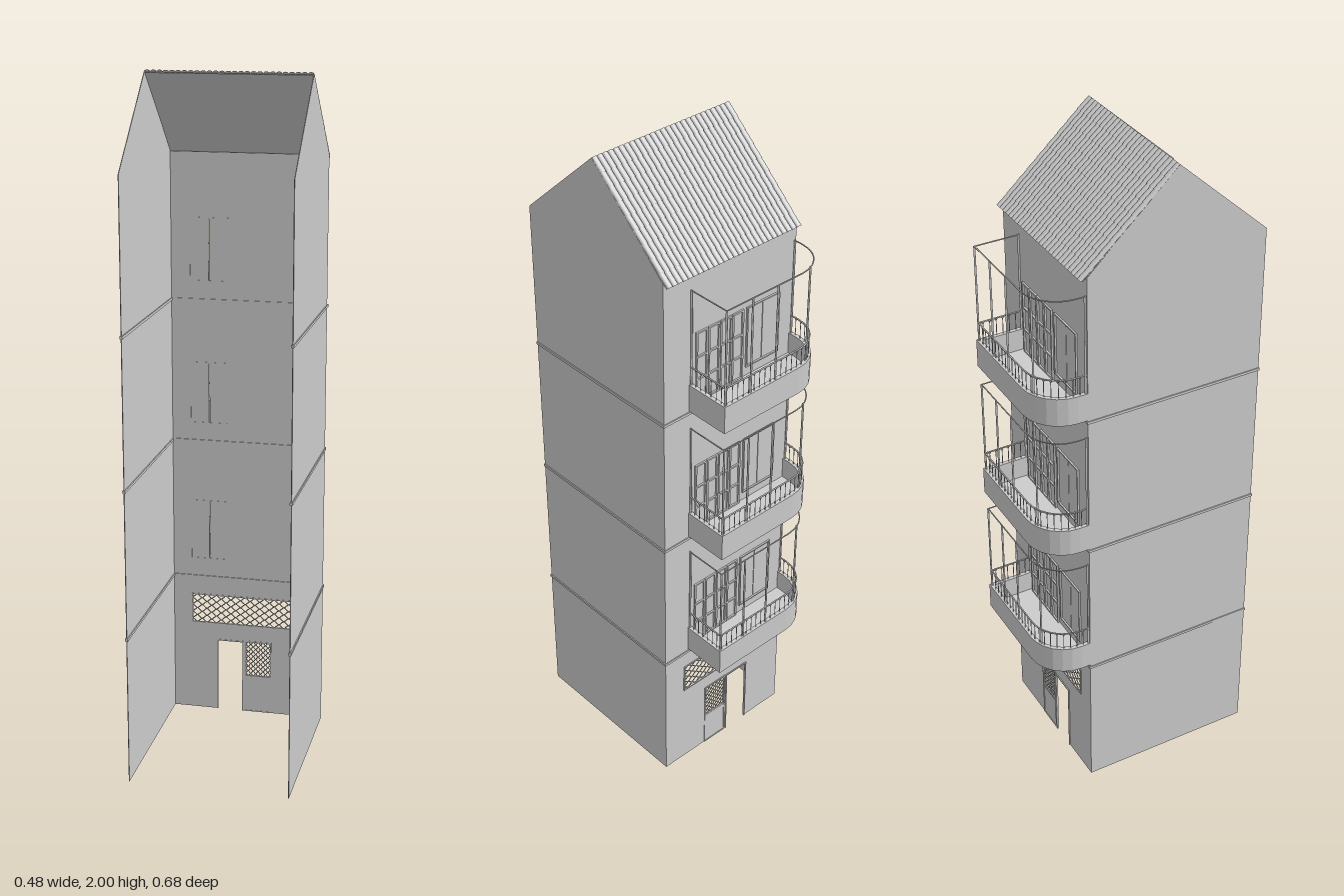
import * as THREE from 'three';
import { mergeGeometries } from 'three/addons/utils/BufferGeometryUtils.js';

const grey = new THREE.MeshStandardMaterial({ color: 0xcccccc, side: THREE.DoubleSide });
const flat = new THREE.MeshStandardMaterial({ color: 0xcccccc, side: THREE.DoubleSide, flatShading: true });
const HALF = 0.235, BACK = -0.2, FRONT = 0.335, RIDGE = 0.065;

function add(parent, name, geometry, material = flat) {
  const mesh = new THREE.Mesh(geometry, material);
  mesh.name = name;
  parent.add(mesh);
  return mesh;
}

// box given by its limits
function box(x0, x1, y0, y1, z0, z1) {
  return new THREE.BoxGeometry(x1 - x0, y1 - y0, z1 - z0)
    .translate((x0 + x1) / 2, (y0 + y1) / 2, (z0 + z1) / 2);
}

// four thin bars around an opening
function frame(x0, x1, y0, y1, w, z0, z1) {
  return mergeGeometries([
    box(x0, x0 + w, y0, y1, z0, z1), box(x1 - w, x1, y0, y1, z0, z1),
    box(x0 + w, x1 - w, y0, y0 + w, z0, z1), box(x0 + w, x1 - w, y1 - w, y1, z0, z1)]);
}

// wavy strands in opposite phase, leaving lens-shaped openings
function lattice(x0, x1, y0, y1, rows, waves, r) {
  const parts = [], h = (y1 - y0) / rows, n = waves * 4;
  for (let i = 0; i < rows; i++) {
    const pts = [];
    for (let k = 0; k <= n; k++) {
      const y = y0 + h * (i + 0.5) + Math.cos(k * Math.PI / 2 + i * Math.PI) * h * 0.5;
      pts.push(new THREE.Vector3(x0 + (x1 - x0) * k / n, y, BACK));
    }
    parts.push(new THREE.TubeGeometry(new THREE.CatmullRomCurve3(pts), n * 2, r, 4));
  }
  return mergeGeometries(parts);
}

// balcony edge in plan (x, distance behind centre), rounded at one corner
function balconyEdge(inset) {
  const p = [new THREE.Vector2(0.147 - inset, -BACK), new THREE.Vector2(0.147 - inset, 0.338 - inset)];
  for (let i = 0; i <= 6; i++) {
    const a = Math.PI / 2 * (1 + i / 6), r = 0.11 - inset;
    p.push(new THREE.Vector2(-0.125 + r * Math.cos(a), 0.228 + r * Math.sin(a)));
  }
  p.push(new THREE.Vector2(-HALF + inset, -BACK));
  return p;
}

function extrudeUp(points, y0, height) {
  return new THREE.ExtrudeGeometry(new THREE.Shape(points), { depth: height, bevelEnabled: false })
    .rotateX(-Math.PI / 2).translate(0, y0, 0);
}

// thin rail following the balcony edge
function rail(y, r) {
  const path = new THREE.CurvePath();
  const p = balconyEdge(0.006).map(v => new THREE.Vector3(v.x, y, -v.y));
  for (let i = 1; i < p.length; i++) path.add(new THREE.LineCurve3(p[i - 1], p[i]));
  return new THREE.TubeGeometry(path, 90, r, 5);
}

function balcony() {
  const g = new THREE.Group();
  g.name = 'balcony';
  add(g, 'balconyFloor', extrudeUp(balconyEdge(0.001), 0, 0.02));
  add(g, 'parapet', extrudeUp([...balconyEdge(0), ...balconyEdge(0.012).reverse()], 0, 0.085));

  // railing: balusters joined by small arches
  const edge = new THREE.CurvePath(), p = balconyEdge(0.006);
  for (let i = 1; i < p.length; i++) edge.add(new THREE.LineCurve(p[i - 1], p[i]));
  const count = 30, parts = [], spots = [];
  for (let i = 0; i <= count; i++) spots.push(edge.getPoint(i / count));
  spots.forEach((s, i) => {
    parts.push(new THREE.CylinderGeometry(0.0013, 0.0013, 0.045, 4).translate(s.x, 0.107, -s.y));
    if (i === count) return;
    const e = spots[i + 1];
    parts.push(new THREE.TorusGeometry(s.distanceTo(e) / 2, 0.0012, 4, 6, Math.PI)
      .rotateY(Math.atan2(e.y - s.y, e.x - s.x))
      .translate((s.x + e.x) / 2, 0.13, -(s.y + e.y) / 2));
  });
  add(g, 'railing', mergeGeometries(parts), grey);
  add(g, 'handrail', rail(0.14, 0.0025), grey);

  // tall posts with a thin top rail
  const posts = [[0.141, 0.203], [0.141, 0.332], [0.05, 0.332], [-0.04, 0.332], [-0.165, 0.322], [-0.229, 0.203]]
    .map(([x, s]) => new THREE.CylinderGeometry(0.003, 0.003, 0.295, 6).translate(x, 0.2275, -s));
  add(g, 'posts', mergeGeometries(posts), grey);
  add(g, 'topRail', rail(0.375, 0.002), grey);

  // glazed window and panelled folding door on the wall
  const panes = [[-0.175, -0.1195], [-0.1175, -0.062]];
  add(g, 'windowPanes', mergeGeometries(panes.map(([a, b]) => box(a, b, 0.052, 0.235, -0.2, -0.198))));
  add(g, 'windowFrame', frame(-0.179, -0.058, 0.048, 0.239, 0.004, -0.205, -0.197));
  const door = [];
  for (let i = 0; i < 4; i++) {
    const x = -0.045 + i * 0.043;
    door.push(frame(x, x + 0.041, 0.02, 0.24, 0.005, -0.206, -0.201));
    for (const y of [0.09, 0.16]) door.push(box(x + 0.005, x + 0.036, y, y + 0.005, -0.206, -0.201));
  }
  add(g, 'foldingDoor', mergeGeometries(door));
  return g;
}

function tiledRoof() {
  const g = new THREE.Group(), cols = 27, rows = 9, length = 0.374;
  g.name = 'roof';
  const pitch = 2 * HALF / cols, step = length / rows, tiles = [];
  for (let c = 0; c < cols; c++) for (let r = 0; r < rows; r++) {
    tiles.push(new THREE.CylinderGeometry(pitch / 2, pitch / 2, step * 1.12, 8, 1, true, -Math.PI / 2, Math.PI)
      .scale(1, 1, 0.75).rotateX(-0.05)
      .translate(-HALF + pitch * (c + 0.5), -step * (r + 0.5), 0));
  }
  add(g, 'roofTiles', mergeGeometries(tiles), grey);
  add(g, 'roofSheet', box(-HALF, HALF, -length, 0, -0.003, -0.001));
  g.position.set(0, 1.994, RIDGE - 0.001);
  g.rotation.set(Math.atan2(0.278, 0.25), Math.PI, 0);
  return g;
}

export function createModel() {
  const model = new THREE.Group();
  model.name = 'townhouse';

  // gabled side walls
  const gable = new THREE.Shape([[-FRONT, 0], [-BACK, 0], [-BACK, 1.75], [-RIDGE, 1.997], [-FRONT, 1.75]]
    .map(([a, b]) => new THREE.Vector2(a, b)));
  for (const side of [-1, 1]) {
    const wall = add(model, side > 0 ? 'leftWall' : 'rightWall',
      new THREE.ExtrudeGeometry(gable, { depth: 0.002, bevelEnabled: false }).rotateY(Math.PI / 2));
    wall.position.x = side * (HALF - 0.001) - 0.001;
  }

  // rear wall with its openings
  const rect = (T, x0, x1, y0, y1) => new T([[x0, y0], [x1, y0], [x1, y1], [x0, y1]]
    .map(([x, y]) => new THREE.Vector2(x, y)));
  const wall = new THREE.Shape([[-HALF, 0], [-0.095, 0], [-0.095, 0.232], [-0.015, 0.232], [-0.015, 0],
    [HALF, 0], [HALF, 1.75], [-HALF, 1.75]].map(([x, y]) => new THREE.Vector2(x, y)));
  wall.holes.push(rect(THREE.Path, -0.175, 0.16, 0.288, 0.38), rect(THREE.Path, -0.005, 0.073, 0.12, 0.234));
  const levels = [0.45, 0.885, 1.32];
  for (const y of levels) wall.holes.push(rect(THREE.Path, -0.175, -0.062, y + 0.05, y + 0.235));
  add(model, 'rearWall', new THREE.ExtrudeGeometry(wall, { depth: 0.002, bevelEnabled: false }))
    .position.z = BACK;

  // ground floor joinery
  add(model, 'ventLattice', lattice(-0.175, 0.16, 0.288, 0.38, 8, 11, 0.0017), grey);
  add(model, 'ventFrame', frame(-0.178, 0.163, 0.285, 0.383, 0.004, -0.203, -0.197));
  add(model, 'windowLattice', lattice(-0.005, 0.073, 0.12, 0.234, 14, 5, 0.0015), grey);
  add(model, 'windowFrame', frame(-0.008, 0.076, 0.117, 0.237, 0.004, -0.203, -0.197));
  add(model, 'panelBelowWindow', frame(-0.008, 0.076, 0, 0.117, 0.003, -0.202, -0.197));
  add(model, 'doorFrame', mergeGeometries([box(-0.098, -0.094, 0, 0.235, -0.203, -0.197),
    box(-0.016, -0.012, 0, 0.235, -0.203, -0.197), box(-0.094, -0.016, 0.231, 0.235, -0.203, -0.197)]));

  // storey bands on the three walls
  for (const y of [0.44, 0.878, 1.313]) {
    add(model, 'storeyBand', mergeGeometries([
      box(-HALF - 0.003, -HALF + 0.005, y - 0.004, y + 0.004, BACK - 0.003, FRONT + 0.002),
      box(HALF - 0.005, HALF + 0.003, y - 0.004, y + 0.004, BACK - 0.003, FRONT + 0.002),
      box(-HALF, HALF, y - 0.004, y + 0.004, BACK - 0.003, BACK + 0.005)]));
  }

  for (const y of levels) {
    const b = balcony();
    b.position.y = y;
    model.add(b);
  }
  model.add(tiledRoof());
  return model;
}
